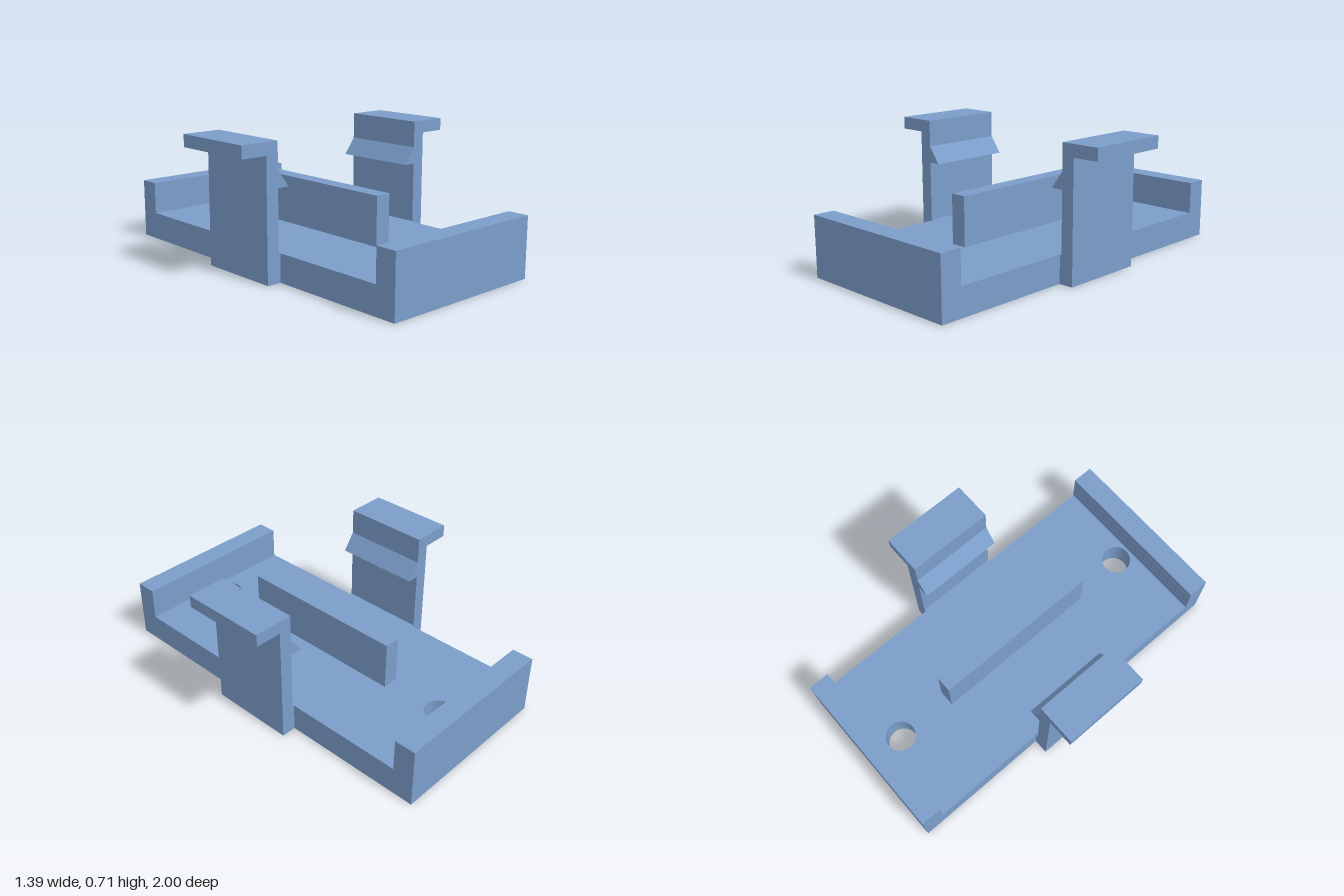
import * as THREE from 'three';

export function createModel() {
  const model = new THREE.Group();
  model.name = 'clipBracket';
  const blue = new THREE.MeshStandardMaterial({ color: 0x7b9dca });
  blue.name = 'steel blue';

  const add = (name, geometry, x = 0, y = 0, z = 0) => {
    const mesh = new THREE.Mesh(geometry, blue);
    mesh.name = name;
    mesh.position.set(x, y, z);
    model.add(mesh);
  };

  const halfW = 0.47, plateH = 0.15, wallT = 0.115, wallH = 0.325;

  // Base plate with two screw holes
  const plate = new THREE.Shape([
    [-halfW, -1], [halfW, -1], [halfW, 1], [-halfW, 1],
  ].map(([x, y]) => new THREE.Vector2(x, y)));
  for (const s of [-1, 1]) {
    plate.holes.push(new THREE.Path().absarc(0, s * 0.79, 0.08, 0, Math.PI * 2, true));
  }
  const plateGeo = new THREE.ExtrudeGeometry(plate, { depth: plateH, bevelEnabled: false, curveSegments: 32 });
  plateGeo.rotateX(-Math.PI / 2);
  add('basePlate', plateGeo);

  // Raised walls at both ends
  for (const s of [-1, 1]) {
    add(s > 0 ? 'frontWall' : 'backWall',
      new THREE.BoxGeometry(halfW * 2, wallH - plateH, wallT),
      0, (wallH + plateH) / 2, s * (1 - wallT / 2));
  }

  // Central rib
  add('centreRib', new THREE.BoxGeometry(0.088, 0.262, 0.94), 0, plateH + 0.131, 0);

  // Snap clips: foot, arm, barb and finger tab in one profile
  const profile = [
    [0.47, 0], [0.55, 0], [0.55, 0.64], [0.695, 0.64], [0.695, 0.706], [0.48, 0.706],
    [0.48, 0.565], [0.415, 0.475], [0.48, 0.475], [0.48, plateH], [0.47, plateH],
  ];
  for (const s of [-1, 1]) {
    const shape = new THREE.Shape(profile.map(([x, y]) => new THREE.Vector2(s * x, y)));
    const geo = new THREE.ExtrudeGeometry(shape, { depth: 0.47, bevelEnabled: false });
    add(s > 0 ? 'leftClip' : 'rightClip', geo, 0, 0, -0.235);
  }
  return model;
}
